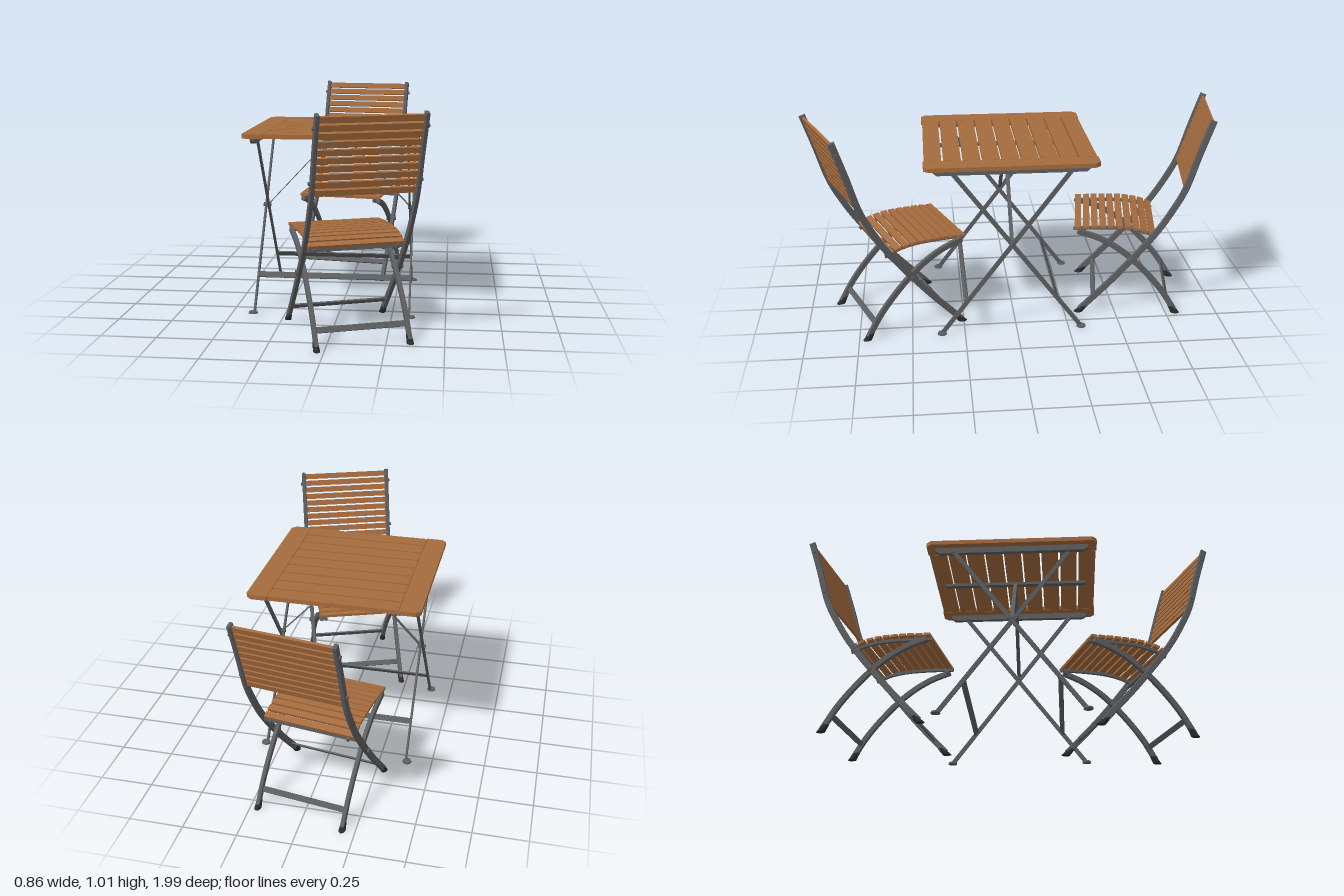
import * as THREE from 'three';

const mat = (name, color) => Object.assign(new THREE.MeshStandardMaterial({ color }), { name });
const wood = mat('oiled wood', 0xa56b3e);
const metal = mat('grey metal', 0x5d5e60);
const rubber = mat('dark rubber', 0x2b2b2c);

function add(parent, name, geo, material, x = 0, y = 0, z = 0, rx = 0) {
  const m = new THREE.Mesh(geo, material);
  m.name = name;
  m.position.set(x, y, z);
  m.rotation.x = rx;
  parent.add(m);
  return m;
}
const box = (w, h, d) => new THREE.BoxGeometry(w, h, d);

// Curve in the side plane, from [z, y] pairs
const sideCurve = (pts) => new THREE.CatmullRomCurve3(pts.map(([z, y]) => new THREE.Vector3(0, y, z)));

// Flat bar of given width (x) and depth following a side-plane curve
function bentBar(curve, width, depth, bevel, n = 24) {
  const a = [], b = [];
  for (let i = 0; i <= n; i++) {
    const p = curve.getPointAt(i / n), t = curve.getTangentAt(i / n), h = depth / 2 - bevel;
    a.push(new THREE.Vector2(p.z - t.y * h, p.y + t.z * h));
    b.push(new THREE.Vector2(p.z + t.y * h, p.y - t.z * h));
  }
  const g = new THREE.ExtrudeGeometry(new THREE.Shape([...a, ...b.reverse()]), {
    depth: width - 2 * bevel, bevelEnabled: true, bevelThickness: bevel, bevelSize: bevel, bevelSegments: 2,
  });
  g.translate(0, 0, -(width / 2 - bevel));
  return g.rotateY(-Math.PI / 2);
}

// Straight bar between two points; d is its size along z (for x-y runs) or across the slope
function strut(parent, name, a, b, w, d) {
  const A = new THREE.Vector3(...a), B = new THREE.Vector3(...b);
  const m = add(parent, name, box(w, A.distanceTo(B), d), metal);
  m.position.copy(A).lerp(B, 0.5);
  m.quaternion.setFromUnitVectors(new THREE.Vector3(0, 1, 0), B.sub(A).normalize());
  return m;
}

function bolt(parent, x, y, z, r = 0.008, len = 0.012) {
  add(parent, 'bolt', new THREE.CylinderGeometry(r, r, len, 10).rotateZ(Math.PI / 2), metal, x, y, z);
}

// Local frame: z = 0 at the top of the backrest, +z towards the sitter's front
function makeChair(name) {
  const g = new THREE.Group();
  g.name = name;
  const main = sideCurve([[0, 0.998], [0.052, 0.84], [0.108, 0.66], [0.163, 0.55], [0.237, 0.43], [0.42, 0.2], [0.585, 0.018]]);
  const rear = sideCurve([[0.125, 0.018], [0.19, 0.12], [0.28, 0.225], [0.39, 0.325], [0.5, 0.39], [0.605, 0.425]]);
  const seat = sideCurve([[0.232, 0.415], [0.3, 0.44], [0.38, 0.452], [0.5, 0.452], [0.628, 0.444]]);

  for (const s of [-1, 1]) {
    add(g, 'backLeg', bentBar(main, 0.019, 0.03, 0.004, 32), metal, s * 0.227);
    add(g, 'curvedLeg', bentBar(rear, 0.019, 0.028, 0.004), metal, s * 0.206);
    // rubber boots along each leg's slope
    for (const [x, z, slope] of [[0.227, 0.582, -0.75], [0.206, 0.127, 0.55]]) {
      const boot = new THREE.CylinderGeometry(0.014, 0.018, 0.034, 12).scale(0.85, 1, 1.2);
      const p = boot.attributes.position;
      for (let i = 0; i < p.count; i++) p.setZ(i, p.getZ(i) - p.getY(i) * Math.tan(-slope));
      boot.computeVertexNormals();
      add(g, 'footBoot', boot, rubber, s * x, 0.017, z);
    }
    // seat side rail
    add(g, 'seatRail', bentBar(seat, 0.012, 0.016, 0.002), metal, s * 0.185, -0.014);
    // pivots and fixings
    bolt(g, s * 0.219, 0.285, 0.347, 0.011, 0.05);
    for (const y of [0.945, 0.715]) bolt(g, s * 0.238, y, (0.998 - y) * 0.32);
    bolt(g, s * 0.196, 0.425, 0.597, 0.011, 0.035);
  }

  // backrest slats, lying in the slope of the legs
  for (let i = 0; i < 10; i++) {
    const y = 0.981 - i * 0.0342;
    add(g, 'backSlat', box(0.436, 0.027, 0.013), wood, 0, y, (0.998 - y) * 0.32, -0.31);
  }
  // seat slats follow the curved seat
  for (let i = 0; i < 10; i++) {
    const u = (i + 0.5) / 10, p = seat.getPointAt(u), t = seat.getTangentAt(u);
    add(g, 'seatSlat', box(0.43, 0.013, 0.031), wood, 0, p.y, p.z, -Math.atan2(t.y, t.z));
  }
  // cross bars
  add(g, 'seatCrossBar', box(0.44, 0.016, 0.016), metal, 0, 0.403, 0.25);
  add(g, 'frontStretcher', box(0.44, 0.026, 0.008), metal, 0, 0.082, 0.525, -0.75);
  add(g, 'rearStretcher', box(0.4, 0.026, 0.008), metal, 0, 0.077, 0.163, 0.55);
  return g;
}

function makeTable() {
  const g = new THREE.Group();
  g.name = 'table';
  const half = 0.4, c = 0.022, y0 = 0.835, thick = 0.02;

  // end boards with clipped outer corners
  for (const s of [-1, 1]) {
    const shape = new THREE.Shape([[0.302, -half], [half - c, -half], [half, -half + c], [half, half - c], [half - c, half], [0.302, half]]
      .map(([x, z]) => new THREE.Vector2(s * x, z)));
    const geo = new THREE.ExtrudeGeometry(shape, { depth: thick, bevelEnabled: false }).rotateX(-Math.PI / 2);
    add(g, 'endBoard', geo, wood, 0, y0);
  }
  // slats
  const pitch = 2 * half / 9;
  for (let i = 0; i < 9; i++) {
    add(g, 'tableSlat', box(0.6, thick, pitch - 0.009), wood, 0, y0 + thick / 2, -half + (i + 0.5) * pitch);
  }
  add(g, 'middleBatten', box(0.026, 0.014, 0.7), metal, 0, 0.828, 0);

  for (const s of [-1, 1]) {
    // under-top rail with tapered ends
    const rail = new THREE.Shape([[-0.36, 0.835], [-0.36, 0.822], [-0.34, 0.806], [0.34, 0.806], [0.36, 0.822], [0.36, 0.835]]
      .map(([z, y]) => new THREE.Vector2(z, y)));
    add(g, 'topRail', new THREE.ExtrudeGeometry(rail, { depth: 0.022, bevelEnabled: false })
      .translate(0, 0, -0.011).rotateY(-Math.PI / 2), metal, s * 0.355);
    // crossed legs, one outside the other
    for (const [x, k] of [[0.362, 1], [0.347, -1]]) {
      strut(g, 'tableLeg', [s * x, 0.008, k * 0.333], [s * x, 0.82, -k * 0.277], 0.009, 0.02);
      add(g, 'tableFoot', new THREE.CylinderGeometry(0.02, 0.022, 0.008, 16), metal, s * (x + 0.006), 0.01, k * 0.335);
      bolt(g, s * 0.355, 0.815, -k * 0.272, 0.009, 0.032);
    }
    bolt(g, s * 0.355, 0.462, 0, 0.01, 0.036);
    // diagonal brace to the middle batten
    strut(g, 'brace', [s * 0.348, 0.465, 0], [s * 0.012, 0.824, 0], 0.004, 0.018);
  }
  // low stretchers
  for (const k of [1, -1]) {
    add(g, 'tableStretcher', box(k > 0 ? 0.724 : 0.694, 0.028, 0.007), metal, 0, 0.163, k * 0.217, -k * 0.64);
  }
  return g;
}

export function createModel() {
  const model = new THREE.Group();
  model.name = 'bistroSet';

  const table = makeTable();
  table.position.set(-0.03, 0, 0.025);

  const rearChair = makeChair('rearChair');
  rearChair.position.set(0.03, 0, -0.945);
  rearChair.rotation.y = -9 * Math.PI / 180;

  const frontChair = makeChair('frontChair');
  frontChair.position.set(0.203, 0, 0.895);
  frontChair.rotation.y = 201 * Math.PI / 180;

  model.add(table, rearChair, frontChair);
  return model;
}
